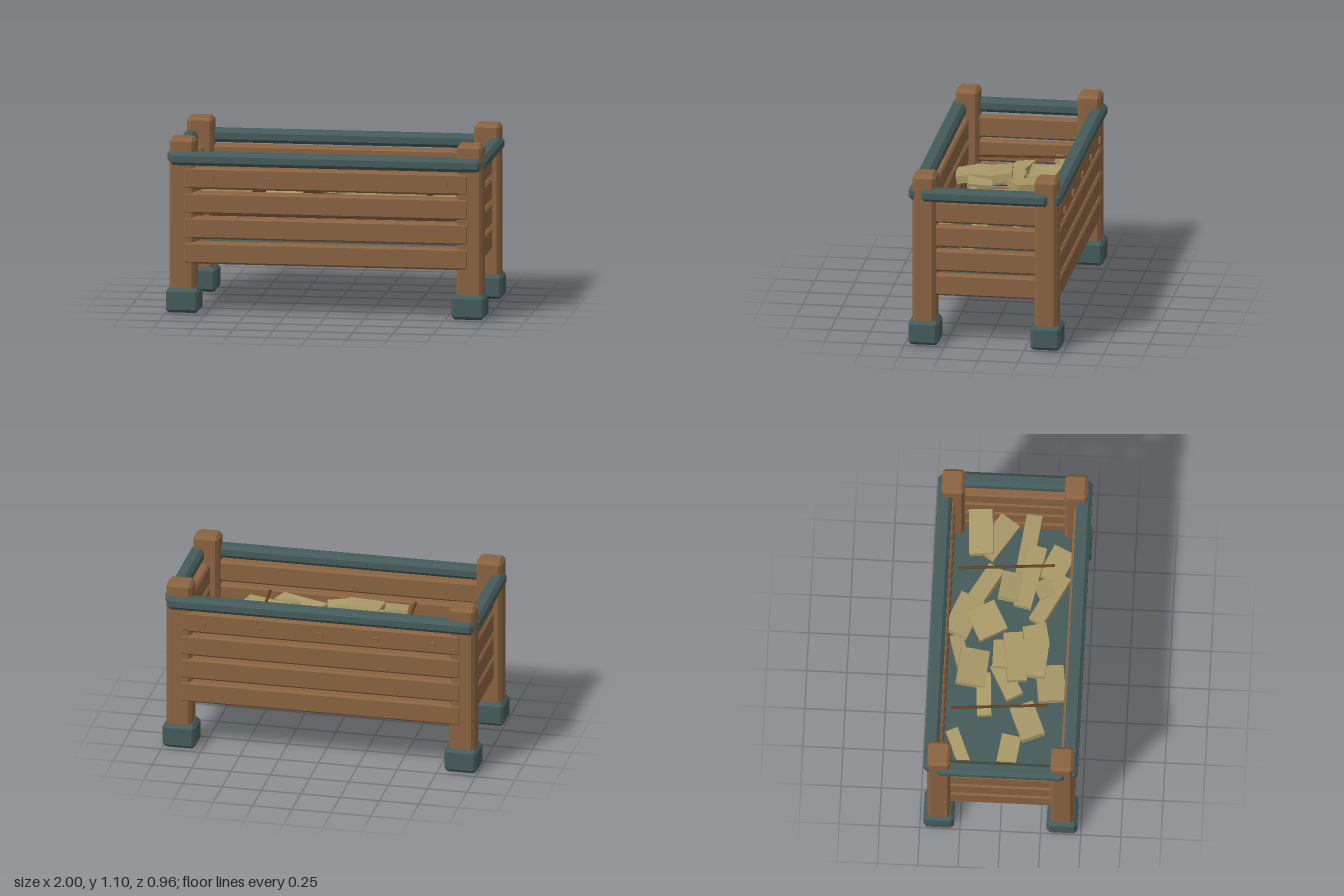
import * as THREE from 'three';
import { ConvexGeometry } from 'three/addons/geometries/ConvexGeometry.js';

const material = (name, color) => {
  const m = new THREE.MeshStandardMaterial({ color });
  m.name = name;
  return m;
};

// Box with every edge cut at 45 degrees
function chamferBox(w, h, d, c) {
  const points = [];
  for (const sx of [-1, 1]) for (const sy of [-1, 1]) for (const sz of [-1, 1]) {
    const x = w / 2, y = h / 2, z = d / 2;
    points.push(
      new THREE.Vector3(sx * x, sy * (y - c), sz * (z - c)),
      new THREE.Vector3(sx * (x - c), sy * y, sz * (z - c)),
      new THREE.Vector3(sx * (x - c), sy * (y - c), sz * z)
    );
  }
  return new ConvexGeometry(points);
}

export function createModel() {
  const group = new THREE.Group();
  group.name = 'planter';
  const wood = material('brown wood', 0x8a6341);
  const metal = material('dark teal metal', 0x455b5b);
  const chip = material('pale wood chips', 0xa89967);
  const twig = material('dark twig', 0x643f24);

  const add = (name, geometry, mat, x, y, z) => {
    const mesh = new THREE.Mesh(geometry, mat);
    mesh.name = name;
    mesh.position.set(x, y, z);
    group.add(mesh);
    return mesh;
  };

  // Corner posts standing in metal feet
  const postGeo = chamferBox(0.163, 1.1, 0.143, 0.02);
  const footGeo = chamferBox(0.208, 0.153, 0.19, 0.02);
  const soleGeo = new THREE.BoxGeometry(0.123, 0.01, 0.103);
  for (const sx of [-1, 1]) for (const sz of [-1, 1]) {
    add('post', postGeo, wood, sx * 0.9, 0.55, sz * 0.3825);
    add('foot', footGeo, metal, sx * 0.896, 0.0805, sz * 0.3825);
    add('postEnd', soleGeo, wood, sx * 0.9, 0.005, sz * 0.3825);
  }

  // Four rows of slats on every side
  const longSlat = chamferBox(1.785, 0.134, 0.09, 0.012);
  const sideSlat = chamferBox(0.06, 0.138, 0.74, 0.012);
  for (let row = 0; row < 4; row++) {
    const y = 0.381 + row * 0.157;
    for (const s of [-1, 1]) {
      add('longSlat', longSlat, wood, 0, y, s * 0.415);
      add('sideSlat', sideSlat, wood, s * 0.902, y, 0);
    }
  }

  // Square pegs along the top slats
  const pegGeo = new THREE.BoxGeometry(0.036, 0.036, 0.03);
  for (const x of [-0.72, -0.355, 0, 0.385, 0.74])
    for (const s of [-1, 1]) add('peg', pegGeo, wood, x, 0.847, s * 0.459);

  // Top rails
  const longRail = chamferBox(1.95, 0.084, 0.094, 0.022);
  const sideRail = chamferBox(0.09, 0.084, 0.8, 0.022);
  for (const s of [-1, 1]) {
    add('longRail', longRail, metal, 0, 0.974, s * 0.433);
    add('sideRail', sideRail, metal, s * 0.955, 0.974, 0);
  }

  // Floor
  add('floor', new THREE.BoxGeometry(1.78, 0.03, 0.76), metal, 0, 0.345, 0);

  // Wood chips: x, z, length, width, turn in degrees, height
  const chips = [
    [-0.73, -0.26, 0.32, 0.08, -22, 0.65], [-0.74, 0.03, 0.28, 0.12, 8, 0.63],
    [-0.51, 0.145, 0.23, 0.15, -22, 0.66], [-0.37, -0.13, 0.27, 0.09, -3, 0.73],
    [-0.21, -0.21, 0.235, 0.18, 5, 0.77], [-0.09, -0.295, 0.2, 0.08, -15, 0.74],
    [-0.275, 0.005, 0.24, 0.11, -28, 0.74], [-0.115, -0.035, 0.18, 0.1, 0, 0.77],
    [-0.135, 0.05, 0.31, 0.12, -8, 0.79], [-0.14, 0.16, 0.23, 0.18, 5, 0.78],
    [0.02, 0.175, 0.14, 0.15, -12, 0.76], [-0.28, 0.28, 0.23, 0.17, -8, 0.73],
    [0.135, -0.28, 0.27, 0.16, 22, 0.76], [0.095, -0.135, 0.2, 0.19, -28, 0.79],
    [0.35, -0.155, 0.27, 0.11, 30, 0.73], [0.335, 0, 0.18, 0.13, 8, 0.77],
    [0.41, 0.12, 0.4, 0.11, 12, 0.75], [0.275, 0.25, 0.35, 0.1, 27, 0.73],
    [0.34, 0.21, 0.11, 0.1, -30, 0.74], [0.52, 0.28, 0.22, 0.15, 25, 0.68],
    [0.66, 0.1, 0.4, 0.1, 7, 0.64], [0.73, -0.2, 0.29, 0.15, -3, 0.65],
    [0.705, -0.1, 0.28, 0.14, 33, 0.63]
  ];
  chips.forEach(([x, z, length, width, turn, y], i) => {
    const mesh = add('woodChip', new THREE.BoxGeometry(length, 0.05, width), chip, x, y, z);
    mesh.rotation.set(((i * 5) % 7 - 3) * 0.05, -turn * Math.PI / 180, ((i * 3) % 5 - 2) * 0.05, 'YXZ');
  });

  // Two thin twigs lying across the chips
  const twigGeo = new THREE.CylinderGeometry(0.009, 0.009, 0.6, 6).rotateX(Math.PI / 2).toNonIndexed();
  twigGeo.computeVertexNormals();
  for (const x of [-0.468, 0.455]) add('twig', twigGeo, twig, x, 0.8, -0.03).rotation.y = 0.075;

  return group;
}
